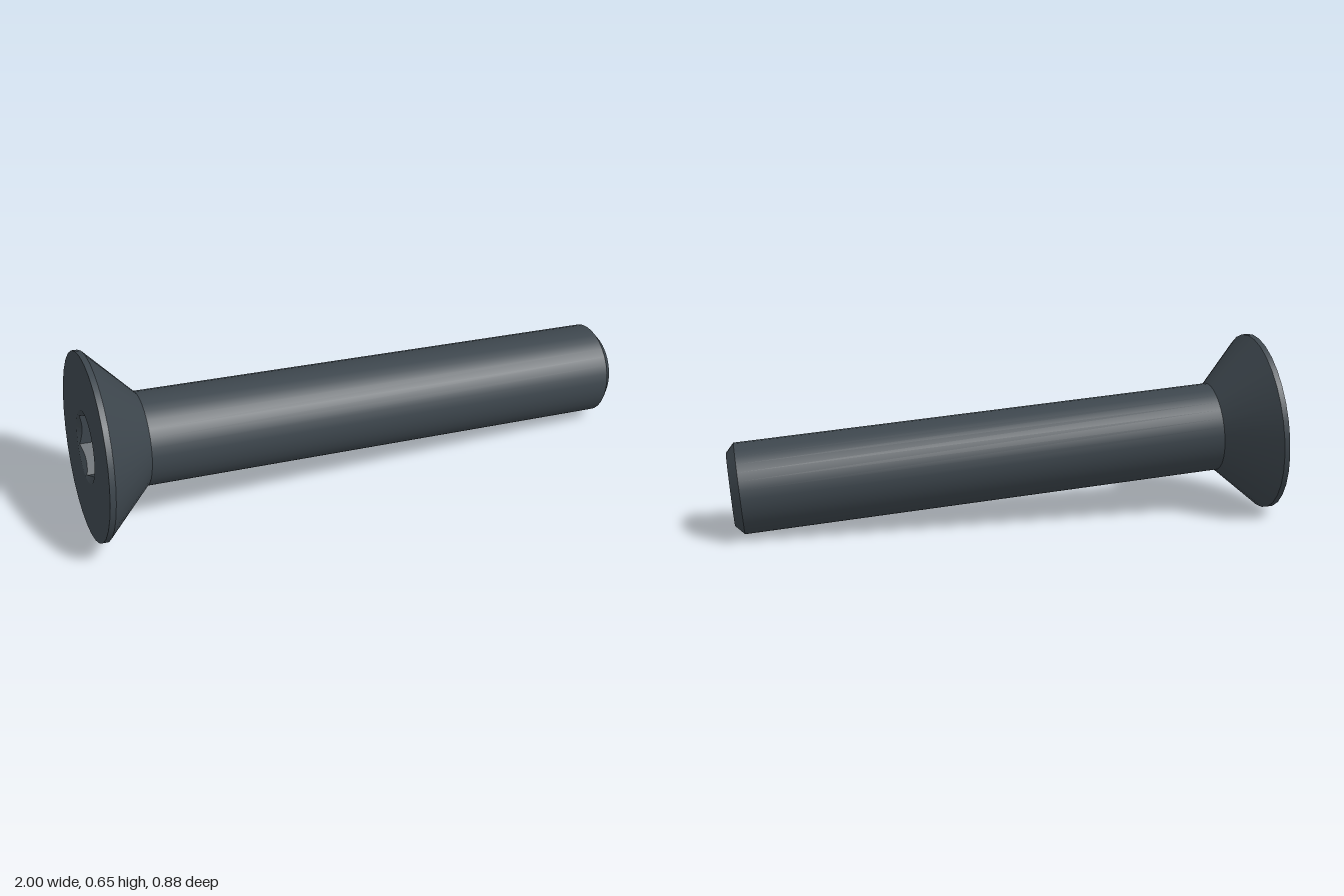
import * as THREE from 'three';

const HEAD_R = 0.325, SHAFT_R = 0.162, TIP_R = 0.129;
const BAND = 0.02, CONE_END = 0.184, CHAMFER = 0.03, LENGTH = 1.948;
const SOCKET_R = 0.125, HEX_R = 0.118, SOCKET_DEPTH = 0.15, SOCKET_SIDES = 48;

// Points on a circle as 2D vectors
function circle(r, n) {
  return Array.from({ length: n }, (_, i) => {
    const a = (i / n) * Math.PI * 2;
    return new THREE.Vector2(Math.cos(a) * r, Math.sin(a) * r);
  });
}

// Radius of a hexagon with a corner on local x, at a given angle
function hexRadius(a) {
  const step = Math.PI / 3;
  const m = ((a % step) + step) % step;
  return (HEX_R * Math.cos(step / 2)) / Math.cos(m - step / 2);
}

// Countersunk lip, six walls and floor of the hexagonal recess
function socketGeometry() {
  const pos = [];
  const point = (a, r, y) => [Math.cos(a) * r, y, Math.sin(a) * r];
  for (let i = 0; i < SOCKET_SIDES; i++) {
    const row = [i, i + 1].map((k) => {
      const a = (k / SOCKET_SIDES) * Math.PI * 2;
      const r = hexRadius(a);
      return [
        point(a, SOCKET_R, 0),
        point(a, r, (SOCKET_R - r) * 0.6),
        point(a, r, SOCKET_DEPTH),
        [0, SOCKET_DEPTH, 0],
      ];
    });
    for (let j = 0; j < 3; j++) {
      const [a, b, c, d] = [row[0][j], row[1][j], row[1][j + 1], row[0][j + 1]];
      pos.push(...a, ...b, ...d);
      if (j < 2) pos.push(...b, ...c, ...d);
    }
  }
  const geo = new THREE.BufferGeometry();
  geo.setAttribute('position', new THREE.Float32BufferAttribute(pos, 3));
  geo.computeVertexNormals();
  return geo;
}

export function createModel() {
  const group = new THREE.Group();
  group.name = 'countersunkScrew';
  const steel = new THREE.MeshStandardMaterial({ color: 0x3d464d });
  steel.name = 'dark steel';

  // Screw is built along local +y, starting at the head face
  const screw = new THREE.Group();
  screw.name = 'screw';
  const add = (name, geo) => {
    const mesh = new THREE.Mesh(geo, steel);
    mesh.name = name;
    screw.add(mesh);
  };
  // Each section is its own lathe so the edges between them stay sharp
  const section = (name, r0, y0, r1, y1) =>
    add(name, new THREE.LatheGeometry([new THREE.Vector2(r0, y0), new THREE.Vector2(r1, y1)], 32));

  // Flat head face with the socket opening
  const face = new THREE.Shape(circle(HEAD_R, 32));
  face.holes.push(new THREE.Path(circle(SOCKET_R, SOCKET_SIDES)));
  add('headFace', new THREE.ShapeGeometry(face).rotateX(Math.PI / 2));
  add('hexSocket', socketGeometry());

  // Head rim, cone, shaft and chamfered tip
  section('headRim', HEAD_R, 0, HEAD_R, BAND);
  section('headCone', HEAD_R, BAND, SHAFT_R, CONE_END);
  section('shaft', SHAFT_R, CONE_END, SHAFT_R, LENGTH - CHAMFER);
  section('tipChamfer', SHAFT_R, LENGTH - CHAMFER, TIP_R, LENGTH);
  section('tipFace', TIP_R, LENGTH, 0, LENGTH);

  // Lay the screw down, resting on its head rim and tip
  const axis = new THREE.Vector3(1, -0.0865, 0.215).normalize();
  const up = new THREE.Vector3(0, 1, 0).addScaledVector(axis, -axis.y).normalize();
  const side = new THREE.Vector3().crossVectors(up, axis);
  screw.quaternion.setFromRotationMatrix(new THREE.Matrix4().makeBasis(up, axis, side));
  screw.position.set(-0.926, 0.324, -0.122);
  group.add(screw);
  return group;
}
